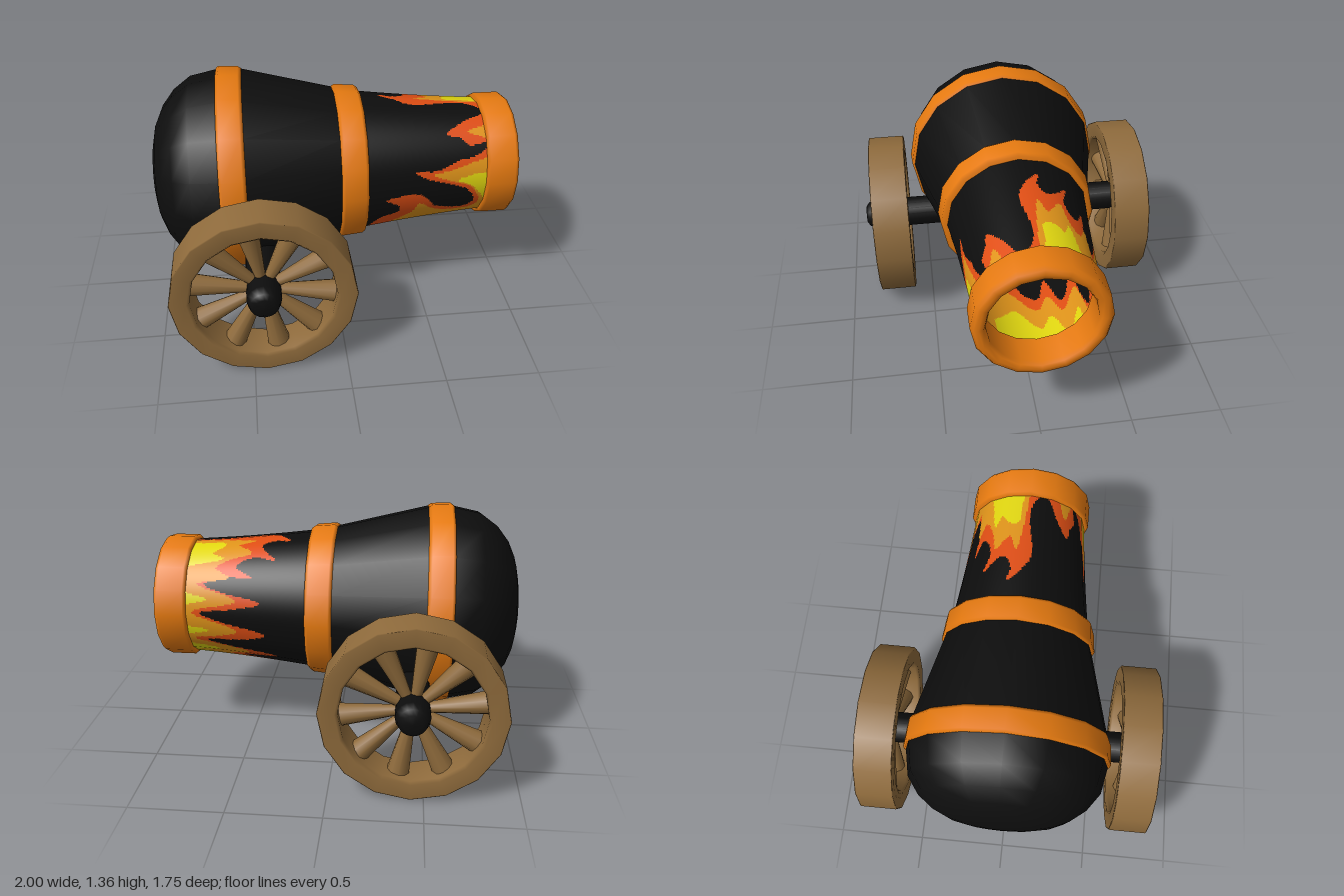
import * as THREE from 'three';

const SIDES = 16, AXIS_Y = 0.7875;
const mat = (name, color, side = THREE.FrontSide) => {
  const m = new THREE.MeshStandardMaterial({ color, side });
  m.name = name;
  return m;
};

// Solid of revolution from flat [radius, height, ...] pairs
function turned(pairs) {
  const pts = [];
  for (let i = 0; i < pairs.length; i += 2) pts.push(new THREE.Vector2(pairs[i], pairs[i + 1]));
  return new THREE.LatheGeometry(pts, SIDES);
}

// Flame outlines unwrapped around the barrel: x, angle in degrees from -54 to 306
const RED = [
  0.16, -54, 0.17, -48, 0.24, -30, 0.32, -25, 0.33, -16, 0.26, -8, 0.36, -5, 0.46, -7, 0.54, -22,
  0.65, -31, 0.73, -31, 0.76, -18, 0.7, -4, 0.6, 3, 0.5, 8, 0.42, 16, 0.54, 16, 0.65, 24, 0.76, 28,
  0.82, 36, 0.82, 41, 0.73, 38, 0.67, 46, 0.6, 49, 0.7, 62, 0.82, 72, 0.82, 81, 0.7, 89, 0.46, 84,
  0.35, 90, 0.26, 104, 0.34, 101, 0.41, 106, 0.4, 116, 0.33, 128, 0.45, 123, 0.55, 133, 0.45, 144,
  0.6, 143, 0.72, 150, 0.6, 158, 0.4, 166, 0.58, 173, 0.74, 177, 0.62, 186, 0.38, 196, 0.55, 204,
  0.72, 208, 0.6, 216, 0.34, 224, 0.5, 232, 0.52, 240, 0.3, 250, 0.45, 258, 0.4, 270, 0.22, 284,
  0.3, 295, 0.28, 300, 0.16, 306];
const ORANGE = [
  0.29, -54, 0.28, -47, 0.36, -38, 0.41, -30, 0.45, -17, 0.52, -26, 0.62, -36, 0.76, -36, 0.79, -20,
  0.73, -2, 0.62, 5, 0.52, 12, 0.63, 16, 0.74, 22, 0.84, 28, 0.85, 42, 0.72, 52, 0.85, 62, 0.85, 88,
  0.66, 93, 0.47, 98, 0.55, 106, 0.47, 118, 0.58, 124, 0.66, 134, 0.58, 144, 0.76, 150, 0.54, 165,
  0.79, 177, 0.54, 195, 0.79, 208, 0.5, 222, 0.62, 238, 0.45, 250, 0.55, 262, 0.38, 284, 0.42, 298,
  0.29, 306];
const YELLOW = [
  0.66, -54, 0.85, -50, 0.85, -32, 0.81, -18, 0.74, -2, 0.66, 5, 0.75, 10, 0.85, 15, 0.86, 50,
  0.85, 92, 0.66, 98, 0.64, 108, 0.69, 116, 0.63, 124, 0.85, 134, 0.85, 155, 0.7, 164, 0.85, 172,
  0.85, 190, 0.7, 196, 0.85, 204, 0.85, 216, 0.66, 223, 0.8, 236, 0.62, 250, 0.7, 262, 0.55, 280,
  0.58, 292, 0.66, 306];

// Smooth an outline and close it behind the muzzle ring
function outline(pairs) {
  const pts = [];
  for (let i = 0; i < pairs.length; i += 2) pts.push(new THREE.Vector2(pairs[i], pairs[i + 1]));
  return [new THREE.Vector2(0.95, -54), ...new THREE.SplineCurve(pts).getPoints(240), new THREE.Vector2(0.95, 306)];
}

function inside(poly, x, a) {
  let hit = false;
  for (let i = 0, j = poly.length - 1; i < poly.length; j = i++) {
    const p = poly[i], q = poly[j];
    if ((p.y > a) !== (q.y > a) && x < p.x + (q.x - p.x) * (a - p.y) / (q.y - p.y)) hit = !hit;
  }
  return hit;
}

// Front of the barrel: a fine sixteen-sided skin, each cell assigned to one colour
function paintedBarrel() {
  const around = SIDES * 15, along = 72, x0 = 0.15, x1 = 0.86;
  const layers = [YELLOW, ORANGE, RED].map(outline);
  const pos = [], nor = [], cells = [[], [], [], []];
  const step = Math.PI / SIDES;
  for (let i = 0; i <= around; i++) {
    const a = i / around * Math.PI * 2;
    const local = (a % (2 * step)) - step;
    const flat = Math.cos(step) / Math.cos(local);
    for (let j = 0; j <= along; j++) {
      const t = j / along, x = x0 + (x1 - x0) * t;
      const r = (0.395 - 0.095 * t + 0.025 * t * t) * flat;
      pos.push(x, r * Math.sin(a), r * Math.cos(a));
      nor.push(0.1, Math.sin(a), Math.cos(a));
    }
  }
  for (let i = 0; i < around; i++) for (let j = 0; j < along; j++) {
    let a = (i + 0.5) / around * 360;
    if (a > 306) a -= 360;
    const x = x0 + (x1 - x0) * (j + 0.5) / along;
    const found = layers.findIndex(p => inside(p, x, a));
    const p = i * (along + 1) + j, q = p + along + 1;
    cells[found < 0 ? 3 : found].push(p, p + 1, q, p + 1, q + 1, q);
  }
  const g = new THREE.BufferGeometry();
  g.setAttribute('position', new THREE.Float32BufferAttribute(pos, 3));
  g.setAttribute('normal', new THREE.Float32BufferAttribute(nor, 3));
  g.setIndex(cells.flat());
  let start = 0;
  cells.forEach((c, k) => { g.addGroup(start, c.length, k); start += c.length; });
  g.normalizeNormals();
  return g;
}

export function createModel() {
  const black = mat('black iron', 0x0d0d0d, THREE.DoubleSide);
  const band = mat('orange band', 0xe67a10);
  const wood = mat('brown wood', 0x8f6b3c);
  const red = mat('flame red', 0xe04e14, THREE.DoubleSide);
  const orange = mat('flame orange', 0xe0941a, THREE.DoubleSide);
  const yellow = mat('flame yellow', 0xe2d810, THREE.DoubleSide);

  const model = new THREE.Group();
  model.name = 'cannon';
  const add = (parent, name, geometry, material) => {
    const m = new THREE.Mesh(geometry, material);
    m.name = name;
    parent.add(m);
    return m;
  };

  // Barrel, lying along x
  const barrel = new THREE.Group();
  barrel.name = 'barrel';
  barrel.position.y = AXIS_Y;
  model.add(barrel);
  const alongX = pairs => turned(pairs).rotateZ(-Math.PI / 2);
  add(barrel, 'breech', alongX([0, -1, 0.09, -0.998, 0.19, -0.988, 0.28, -0.968, 0.365, -0.93, 0.45, -0.865,
    0.52, -0.77, 0.55, -0.625, 0.548, -0.49, 0.425, 0.01, 0.395, 0.15]), black);
  add(barrel, 'flamePaintedBarrel', paintedBarrel(), [yellow, orange, red, black]);
  add(barrel, 'rearBand', alongX([0.53, -0.627, 0.558, -0.625, 0.5675, -0.61, 0.562, -0.505, 0.55, -0.487, 0.52, -0.485]), band);
  add(barrel, 'middleBand', alongX([0.4, 0.01, 0.428, 0.012, 0.438, 0.03, 0.428, 0.14, 0.415, 0.158, 0.37, 0.16]), band);
  add(barrel, 'muzzleRing', alongX([0.275, 0.82, 0.335, 0.82, 0.35, 0.835, 0.35, 0.975, 0.335, 0.995,
    0.31, 1, 0.285, 0.995, 0.275, 0.975, 0.275, 0.82]), band);

  // Axle with tapered ends
  const axle = add(model, 'axle', turned([0, -0.875, 0.05, -0.872, 0.075, -0.855, 0.09, -0.81,
    0.09, 0.81, 0.075, 0.855, 0.05, 0.872, 0, 0.875]).rotateX(Math.PI / 2), black);
  axle.position.set(-0.43, 0.48, 0);

  // Wheels with flared spokes
  const rimGeo = turned([0.375, 0, 0.375, -0.09, 0.39, -0.105, 0.475, -0.105, 0.48, -0.1, 0.48, 0.1,
    0.475, 0.105, 0.39, 0.105, 0.375, 0.09, 0.375, 0]).rotateX(Math.PI / 2);
  const spokeGeo = new THREE.CylinderGeometry(0.062, 0.026, 0.33, 10).translate(0, 0.225, 0);
  for (const side of [1, -1]) {
    const wheel = new THREE.Group();
    wheel.name = side > 0 ? 'leftWheel' : 'rightWheel';
    wheel.position.set(-0.43, 0.48, side * 0.71);
    model.add(wheel);
    add(wheel, 'rim', rimGeo, wood);
    for (let i = 0; i < 10; i++) {
      add(wheel, 'spoke', spokeGeo, wood).rotation.z = THREE.MathUtils.degToRad(10 + i * 36);
    }
  }
  return model;
}
